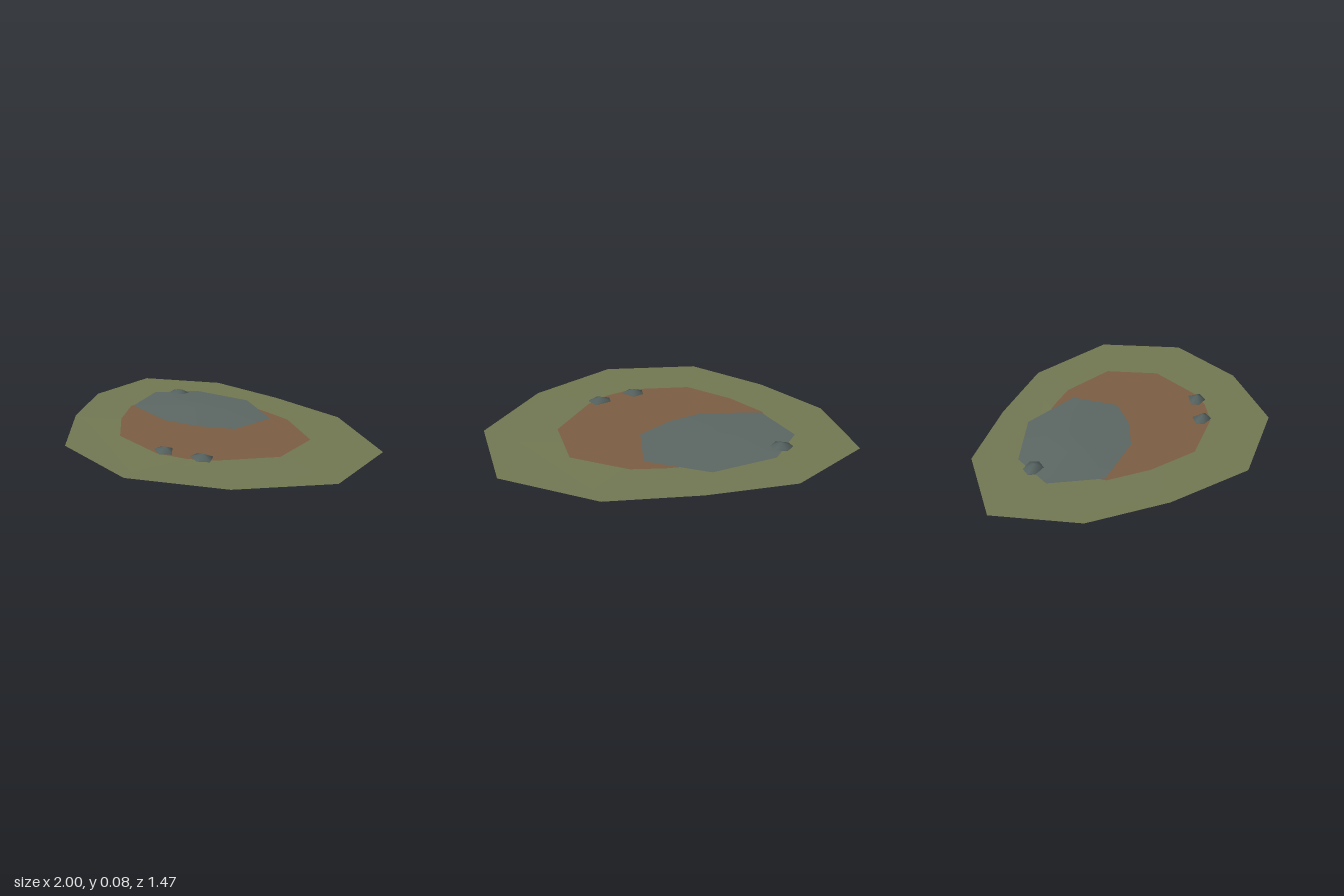
import * as THREE from 'three';
import { mergeVertices } from 'three/addons/utils/BufferGeometryUtils.js';

const material = (name, color, side = THREE.FrontSide) => {
  const m = new THREE.MeshStandardMaterial({ color, side });
  m.name = name;
  return m;
};

// Outlines as [x, z], clockwise seen from above
const GRASS = [[-1, -0.29], [-0.63, -0.61], [-0.16, -0.7], [0.33, -0.74], [0.85, -0.53], [1, -0.06],
  [0.76, 0.38], [0.36, 0.7], [-0.18, 0.73], [-0.58, 0.46], [-0.88, 0.15]];
const EARTH = [[-0.57, -0.2], [-0.45, -0.35], [-0.1, -0.45], [0.02, -0.465], [0.2, -0.47], [0.51, -0.35],
  [0.6, -0.06], [0.45, 0.23], [0.35, 0.33], [0.2, 0.41], [-0.13, 0.43], [-0.37, 0.28], [-0.54, 0.11]];
const SLAB = [[-0.68, -0.15], [-0.55, -0.38], [-0.21, -0.51], [0.13, -0.4], [0.15, -0.13],
  [-0.01, 0.01], [-0.2, 0.1], [-0.53, 0.1]];
// Crescent gap in the earth, hidden under the slab
const GAP = [[0.08, -0.36], [0.13, -0.2], [0.125, -0.12], [-0.03, 0.01], [-0.27, 0.095],
  [-0.08, -0.0], [0.04, -0.1], [0.09, -0.19]];

// Thin sheet with a hole; height is a rule on the distance from the centre
function sheet(outline, hole, height) {
  const points = (list) => list.map(([x, z]) => new THREE.Vector2(x, -z));
  const shape = new THREE.Shape(points(outline));
  shape.holes.push(new THREE.Path(points(hole)));
  const geo = new THREE.ShapeGeometry(shape).rotateX(-Math.PI / 2);
  const p = geo.attributes.position;
  for (let i = 0; i < p.count; i++) p.setY(i, height(Math.hypot(p.getX(i), p.getZ(i))));
  geo.computeVertexNormals();
  return geo;
}

// Stack of scaled copies of an outline, from bottom to top; layers are [scale, y]
function stack(outline, cx, cz, layers) {
  const n = outline.length, pos = [], index = [];
  for (const [s, y] of layers)
    for (const [x, z] of outline) pos.push(cx + (x - cx) * s, y, cz + (z - cz) * s);
  for (let k = 0; k < layers.length - 1; k++)
    for (let i = 0; i < n; i++) {
      const j = (i + 1) % n, a = k * n, b = a + n;
      if (layers[k][0] > 0) index.push(a + j, a + i, b + i);
      if (layers[k + 1][0] > 0) index.push(a + j, b + i, b + j);
    }
  let geo = new THREE.BufferGeometry();
  geo.setAttribute('position', new THREE.Float32BufferAttribute(pos, 3));
  geo.setIndex(index);
  geo = mergeVertices(geo, 1e-5);
  geo.computeVertexNormals();
  return geo;
}

export function createModel() {
  const group = new THREE.Group();
  group.name = 'groundPatch';
  const grass = material('grass green', 0x727852, THREE.DoubleSide);
  const earth = material('earth brown', 0x7b5d44, THREE.DoubleSide);
  const slate = material('slate grey', 0x5c6763, THREE.DoubleSide);
  const stone = material('stone grey', 0x566360);

  const add = (name, geo, mat) => {
    const mesh = new THREE.Mesh(geo, mat);
    mesh.name = name;
    group.add(mesh);
  };

  // Ground layers
  add('grassBorder', sheet(GRASS, EARTH, (r) => (r < 0.66 ? 0.05 : 0.046)), grass);
  add('earthPatch', sheet(EARTH, GAP, () => 0.05), earth);
  add('slatePatch', stack(SLAB, -0.33, -0.19, [[1, 0.052], [0.24, 0.064], [0, 0.066]]), slate);

  // Pebbles: two outline rings between a bottom and a top point
  const pebbles = [
    [-0.585, -0.27, [[-0.065, 0], [-0.03, -0.045], [0.035, -0.045], [0.06, 0], [0.02, 0.05], [-0.045, 0.035]]],
    [0.2, 0.36, [[-0.062, -0.015], [-0.01, -0.05], [0.06, 0], [0.015, 0.048], [-0.055, 0.03]]],
    [0.39, 0.265, [[-0.065, -0.01], [0.015, -0.052], [0.062, 0], [0.015, 0.048], [-0.055, 0.035]]],
  ];
  pebbles.forEach(([x, z, outline], i) => {
    const geo = stack(outline, 0, 0, [[0, 0], [0.95, 0.022], [1, 0.054], [0, 0.076]]);
    geo.translate(x, 0, z);
    add('pebble' + (i + 1), geo, stone);
  });
  return group;
}
